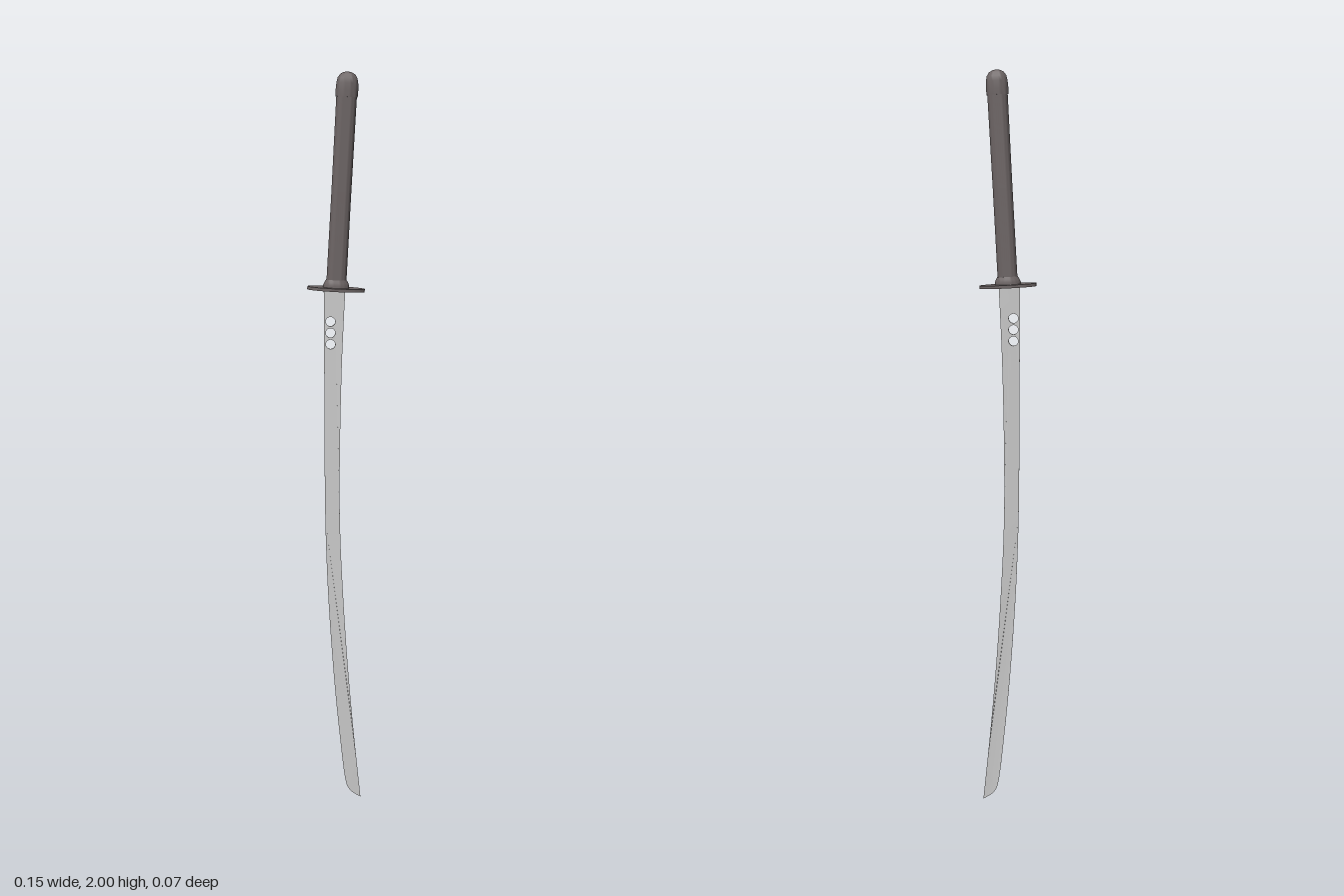
import * as THREE from 'three';
import { toCreasedNormals } from 'three/addons/utils/BufferGeometryUtils.js';

const GUARD_Y = 1.455;
const TILT = -0.055;
const FLATTEN = 0.62;

const darkMaterial = new THREE.MeshStandardMaterial({ color: 0x6c6464 });
const steelMaterial = new THREE.MeshStandardMaterial({ color: 0xcccccc });

function addMesh(parent, name, geometry, material) {
  const mesh = new THREE.Mesh(geometry, material);
  mesh.name = name;
  parent.add(mesh);
  return mesh;
}

// Smooth curve through a few [x, y] points
function curvePoints(points, n) {
  return new THREE.SplineCurve(points.map(([x, y]) => new THREE.Vector2(x, y))).getPoints(n);
}

// x on a sampled curve that runs downwards in y
function xAt(samples, y) {
  for (let i = 1; i < samples.length; i++) {
    const a = samples[i - 1], b = samples[i];
    if (y >= b.y) return b.x + (a.x - b.x) * (y - b.y) / (a.y - b.y);
  }
  return samples[samples.length - 1].x;
}

// Turned part with an oval cross-section
function ovalLathe(profile) {
  const points = profile.map(([r, y]) => new THREE.Vector2(r, y));
  const geometry = new THREE.LatheGeometry(points, 32);
  geometry.scale(1, 1, FLATTEN);
  return toCreasedNormals(geometry, 0.6);
}

// Curved blade: flat spine at +x, cutting edge at -x, three round holes
function bladeGeometry() {
  const spine = curvePoints([[0.024, 1.455], [0.015, 1.25], [0.01, 1.0], [0.011, 0.8],
    [0.02, 0.6], [0.033, 0.4], [0.05, 0.2], [0.07, 0]], 42);
  const edge = curvePoints([[-0.032, 1.455], [-0.031, 1.2], [-0.03, 0.9], [-0.026, 0.72],
    [-0.018, 0.55], [-0.004, 0.35], [0.012, 0.18], [0.026, 0.06], [0.04, 0.022], [0.07, 0]], 54);

  const shape = new THREE.Shape([...edge, ...spine.slice(0, -1).reverse()]);
  for (const y of [1.37, 1.34, 1.31]) {
    shape.holes.push(new THREE.Path().absarc(-0.0145, y, 0.0125, 0, Math.PI * 2, true));
  }
  const geometry = new THREE.ExtrudeGeometry(shape, { depth: 1, bevelEnabled: false, curveSegments: 10 });

  // Thin the slab from spine to edge, and towards the tip
  const position = geometry.attributes.position;
  for (let i = 0; i < position.count; i++) {
    const x = position.getX(i), y = position.getY(i);
    const left = xAt(edge, y), right = xAt(spine, y);
    const t = THREE.MathUtils.clamp((x - left) / Math.max(right - left, 1e-4), 0, 1);
    const taper = Math.min(1, 0.15 + y / 0.2);
    const half = 0.0004 + 0.0055 * t * taper;
    position.setZ(i, position.getZ(i) > 0.5 ? half : -half);
  }
  return toCreasedNormals(geometry, 0.5);
}

export function createModel() {
  const model = new THREE.Group();
  model.name = 'sword';

  addMesh(model, 'blade', bladeGeometry(), steelMaterial);

  // The hilt leans slightly away from the blade axis
  const hilt = new THREE.Group();
  hilt.name = 'hilt';
  hilt.position.y = GUARD_Y;
  hilt.rotation.z = TILT;
  model.add(hilt);

  const guard = new THREE.CylinderGeometry(0.075, 0.075, 0.008, 48);
  guard.scale(1, 1, 0.44);
  addMesh(hilt, 'guard', toCreasedNormals(guard, 0.6), darkMaterial);

  addMesh(hilt, 'collar', ovalLathe([
    [0, 0.003], [0.034, 0.003], [0.034, 0.009], [0.031, 0.017], [0.027, 0.024], [0, 0.024],
  ]), darkMaterial);

  addMesh(hilt, 'grip', ovalLathe([
    [0, 0.01], [0.026, 0.01], [0.0255, 0.25], [0.026, 0.49], [0, 0.49],
  ]), darkMaterial);

  addMesh(hilt, 'pommelCap', ovalLathe([
    [0, 0.484], [0.028, 0.484], [0.0285, 0.5], [0.0275, 0.518], [0.025, 0.53],
    [0.019, 0.539], [0.01, 0.544], [0, 0.5455],
  ]), darkMaterial);

  return model;
}
